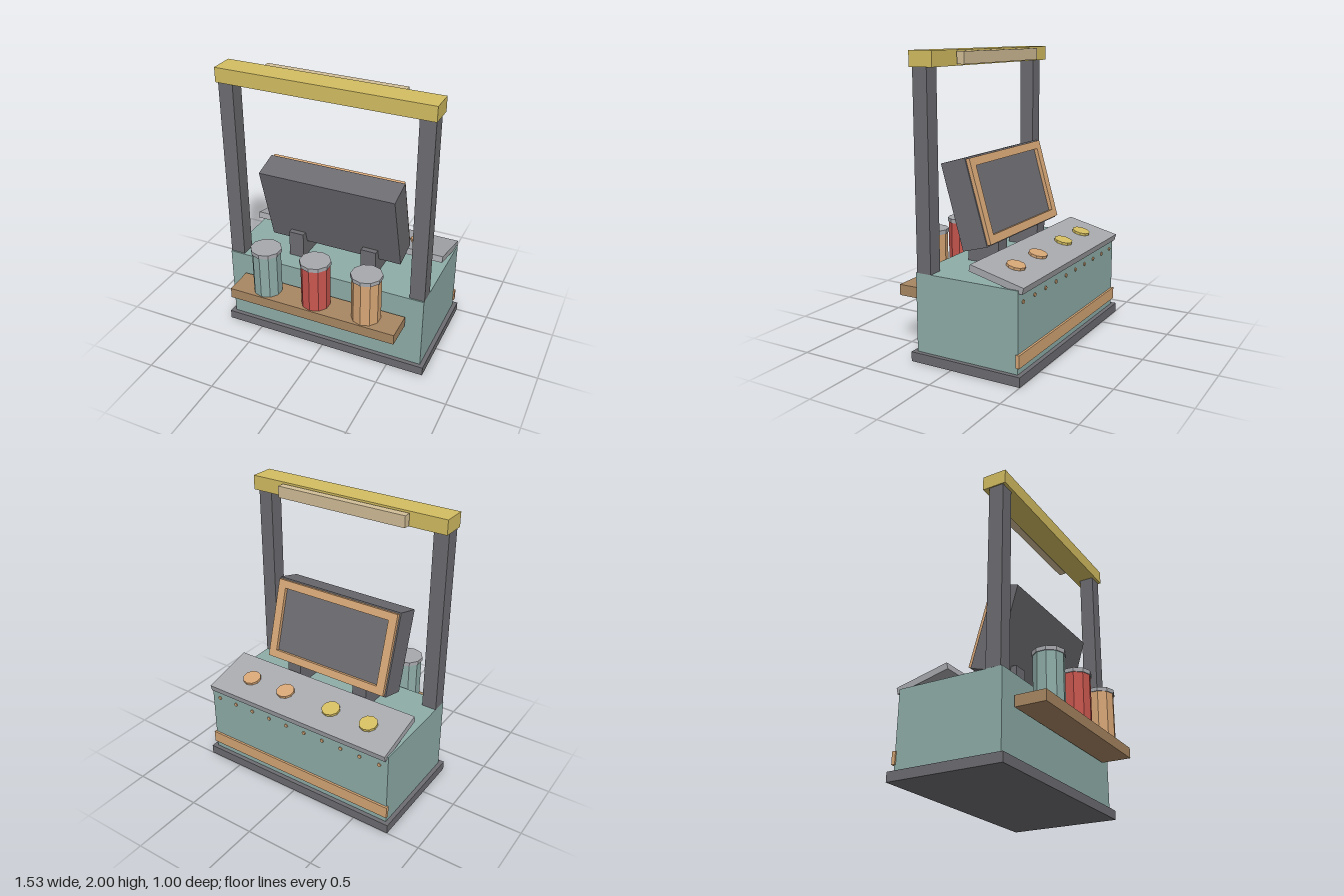
import * as THREE from 'three';

function mat(name, color) {
  const m = new THREE.MeshStandardMaterial({ color });
  m.name = name;
  return m;
}

export function createModel() {
  const model = new THREE.Group();
  model.name = 'controlStand';

  const teal = mat('teal', 0x8fada8);
  const dark = mat('charcoal', 0x6d6c71);
  const yellow = mat('mustard', 0xd4be62);
  const brown = mat('wood', 0xa98763);
  const peach = mat('copper', 0xd6a676);
  const red = mat('red', 0xca564f);
  const grey = mat('grey', 0xa8a9ad);
  const cream = mat('cream', 0xd3bf98);

  function add(name, geometry, material, x, y, z, parent = model) {
    const mesh = new THREE.Mesh(geometry, material);
    mesh.name = name;
    mesh.position.set(x, y, z);
    parent.add(mesh);
    return mesh;
  }
  const box = (name, material, w, h, d, x, y, z, parent) =>
    add(name, new THREE.BoxGeometry(w, h, d), material, x, y, z, parent);
  // Ten-sided drum with flat facets
  const drum = (name, material, r, h, x, y, z, parent) =>
    add(name, new THREE.CylinderGeometry(r, r, h, 10).toNonIndexed(), material, x, y, z, parent)
      .geometry.computeVertexNormals();

  // Plinth and cabinet
  box('plinth', dark, 1.53, 0.065, 0.805, 0, 0.0325, -0.0975);
  box('cabinet', teal, 1.47, 0.535, 0.745, 0, 0.3325, -0.0975);

  // Posts, top beam and lamp bar
  for (const s of [-1, 1]) {
    box('post', dark, 0.105, 1.3, 0.105, s * 0.683, 1.25, 0.2125);
    box('screenSupport', dark, 0.11, 0.19, 0.235, s * 0.275, 0.695, 0.018);
  }
  box('beam', yellow, 1.486, 0.1, 0.17, 0, 1.95, 0.2);
  box('lampBar', cream, 0.97, 0.08, 0.053, 0, 1.95, 0.079);

  // Tilted screen with a raised frame on its rear face
  const screen = new THREE.Group();
  screen.name = 'screen';
  screen.position.set(0, 1.016, 0.0635);
  screen.rotation.x = 0.28;
  model.add(screen);
  box('screenHousing', dark, 0.98, 0.59, 0.19, 0, 0, 0, screen);
  const frameZ = -0.108;
  for (const s of [-1, 1]) {
    box('frameRail', peach, 0.96, 0.055, 0.026, 0, s * 0.2575, frameZ, screen);
    box('frameSide', peach, 0.06, 0.46, 0.026, s * 0.45, 0, frameZ, screen);
  }

  // Sloping control panel with four buttons
  const panel = new THREE.Group();
  panel.name = 'controlPanel';
  panel.position.set(0, 0.643, -0.31);
  panel.rotation.x = -0.24;
  model.add(panel);
  box('panelBoard', grey, 1.45, 0.045, 0.386, 0, 0, 0, panel);
  [[-0.49, yellow], [-0.193, yellow], [0.19, peach], [0.488, peach]].forEach(([x, m]) =>
    drum('button', m, 0.064, 0.018, x, 0.031, -0.003, panel));

  // Front shelf with three lidded jars
  box('shelf', brown, 1.23, 0.075, 0.21, 0, 0.4125, 0.395);
  [[-0.373, teal], [0, red], [0.373, peach]].forEach(([x, m]) => {
    drum('jar', m, 0.101, 0.322, x, 0.611, 0.392);
    drum('jarLid', grey, 0.108, 0.028, x, 0.786, 0.392);
  });

  // Rear rail and row of rivets
  box('rearRail', peach, 1.49, 0.085, 0.025, 0, 0.1525, -0.4725);
  for (let i = 0; i < 10; i++) {
    const rivet = add('rivet', new THREE.CylinderGeometry(0.013, 0.013, 0.012, 8), peach,
      -0.67 + i * 0.149, 0.515, -0.471);
    rivet.rotation.x = Math.PI / 2;
  }

  return model;
}
